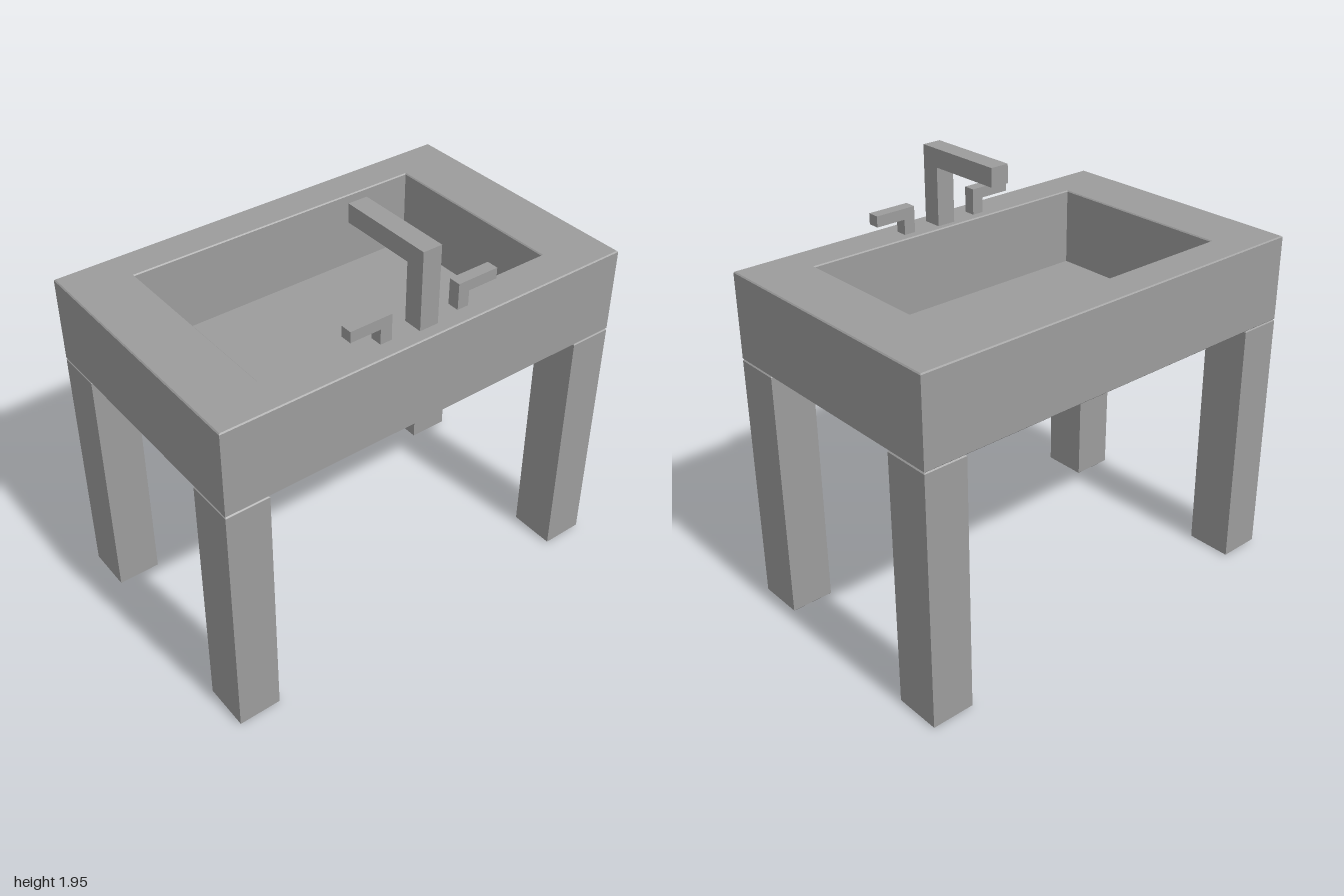
import * as THREE from 'three';

const BEVEL = 0.005;

// Closed shape from corner points
function outline(points) {
  return new THREE.Shape(points.map(([x, y]) => new THREE.Vector2(x, y)));
}

function rectangle(x0, x1, y0, y1) {
  return [[x0, y0], [x1, y0], [x1, y1], [x0, y1]];
}

// Upright block with fine chamfered edges and an optional rectangular opening (x0, x1, z0, z1)
function chamferedBlock(x0, x1, y0, y1, z0, z1, opening) {
  const b = BEVEL;
  const shape = outline(rectangle(x0 + b, x1 - b, -z1 + b, -z0 - b));
  if (opening) {
    const [a0, a1, c0, c1] = opening;
    shape.holes.push(outline(rectangle(a0 - b, a1 + b, -c1 - b, -c0 + b)));
  }
  const geometry = new THREE.ExtrudeGeometry(shape, {
    depth: y1 - y0 - 2 * b, bevelEnabled: true, bevelSize: b, bevelThickness: b, bevelSegments: 1,
  });
  return geometry.rotateX(-Math.PI / 2).translate(0, y0 + b, 0);
}

// Sharp-edged L-shaped bar, extruded along z and centred on it
function bar(points, thickness) {
  return new THREE.ExtrudeGeometry(outline(points), { depth: thickness, bevelEnabled: false })
    .translate(0, 0, -thickness / 2);
}

export function createModel() {
  const model = new THREE.Group();
  model.name = 'washbasin';
  const grey = new THREE.MeshStandardMaterial({ color: 0x9c9c9c });
  grey.name = 'grey';

  const add = (name, geometry) => {
    const mesh = new THREE.Mesh(geometry, grey);
    mesh.name = name;
    model.add(mesh);
    return mesh;
  };

  // Basin walls and floor
  add('basinWalls', chamferedBlock(-1, 1, 1.195, 1.595, -0.62, 0.62, [-0.72, 0.72, -0.45, 0.445]));
  add('basinFloor', new THREE.BoxGeometry(1.46, 0.04, 0.915).translate(0, 1.215, -0.0025));

  // Four legs flush with the basin corners
  for (const [side, sx] of [['left', 1], ['right', -1]]) {
    for (const [end, sz] of [['Front', 1], ['Back', -1]]) {
      const leg = add(side + end + 'Leg', chamferedBlock(-0.1, 0.1, 0, 1.195, -0.11, 0.11));
      leg.position.set(sx * 0.9, 0, sz * 0.51);
    }
  }

  // Tap with its spout reaching back over the basin
  const tap = bar([
    [0.565, 1.59], [0.565, 1.95], [0.11, 1.95], [0.11, 1.865], [0.475, 1.865], [0.475, 1.59],
  ], 0.09);
  add('tap', tap.rotateY(-Math.PI / 2));

  // Lever handles pointing outwards
  const handle = [
    [0.167, 1.59], [0.222, 1.59], [0.222, 1.665], [0.367, 1.665], [0.367, 1.715], [0.167, 1.715],
  ];
  for (const [name, sx] of [['leftHandle', 1], ['rightHandle', -1]]) {
    const points = handle.map(([x, y]) => [sx * x, y]);
    add(name, bar(points, 0.055)).position.z = 0.515;
  }

  return model;
}
